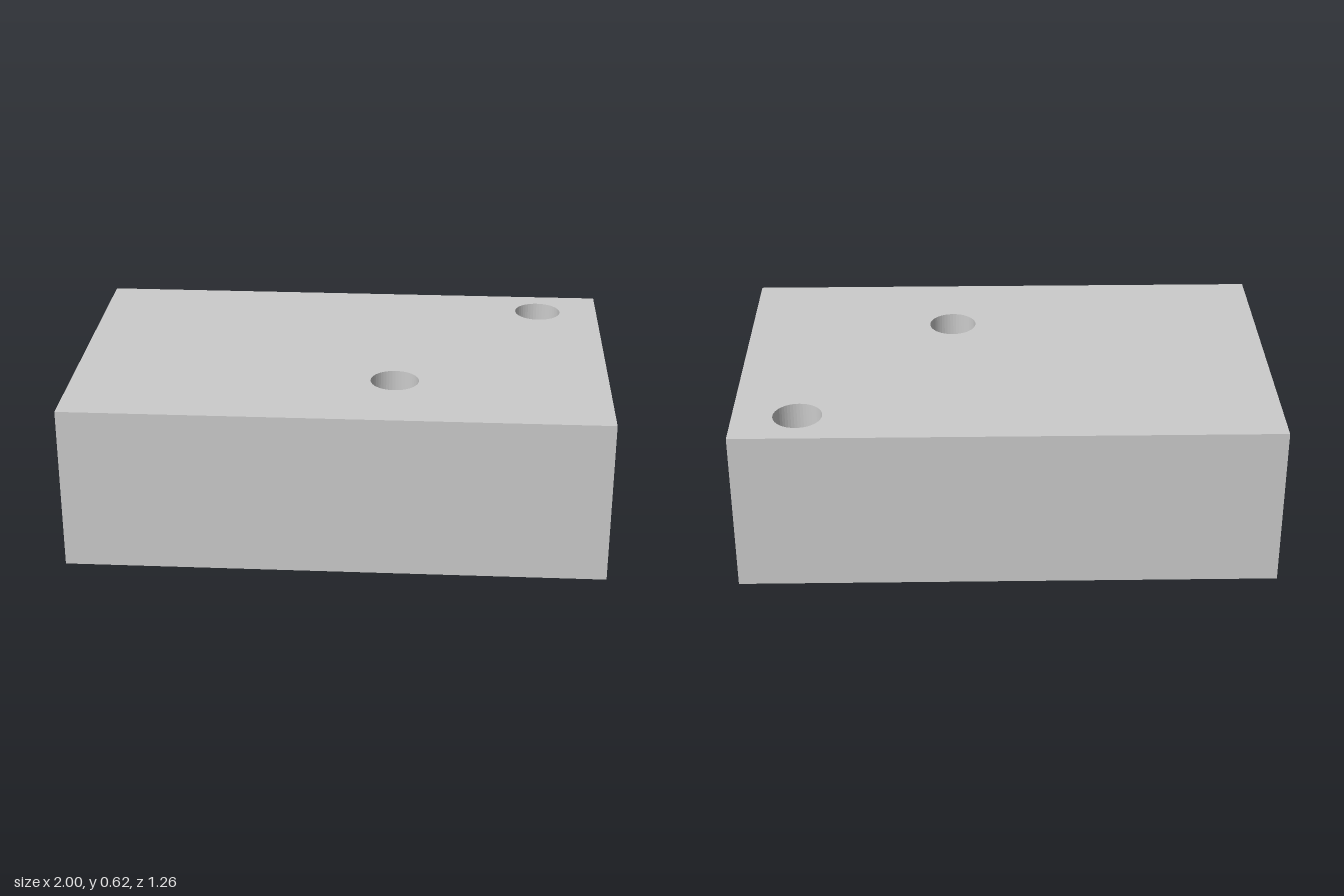
import * as THREE from 'three';

const W = 2, H = 0.62, D = 1.26;          // block size
const SEG = 48;                           // sides of every bore
const BORE = { z: -0.17, y: 0.272, r: 0.162, wideR: 0.27, wideDepth: 0.28 };
const PINS = [{ x: 0.205, z: 0.275, r: 0.09 }, { x: 0.762, z: -0.465, r: 0.09 }];

export function createModel() {
  const group = new THREE.Group();
  const solid = new THREE.MeshStandardMaterial({ color: 0xcccccc, flatShading: true });
  const wall = new THREE.MeshStandardMaterial({ color: 0xcccccc, flatShading: true, side: THREE.DoubleSide });

  const add = (name, geometry, material = solid) => {
    const mesh = new THREE.Mesh(geometry, material);
    mesh.name = name;
    group.add(mesh);
    return mesh;
  };

  const circle = (PathType, x, y, r) => new PathType().absarc(x, y, r, 0, Math.PI * 2, false);

  // Flat rectangular face, centred on its own origin, with round holes [x, y, r]
  const face = (name, w, h, holes = []) => {
    const s = new THREE.Shape([[-w, -h], [w, -h], [w, h], [-w, h]].map(([x, y]) => new THREE.Vector2(x / 2, y / 2)));
    s.holes = holes.map(([x, y, r]) => circle(THREE.Path, x, y, r));
    return add(name, new THREE.ShapeGeometry(s, SEG / 2));
  };

  // Outer faces of the block
  const cy = H / 2;
  const front = face('frontFace', W, H);
  front.position.set(0, cy, D / 2);
  const back = face('backFace', W, H);
  back.position.set(0, cy, -D / 2);
  back.rotation.y = Math.PI;
  const top = face('topFace', W, D, PINS.map(p => [p.x, -p.z, p.r]));
  top.position.y = H;
  top.rotation.x = -Math.PI / 2;
  const bottom = face('bottomFace', W, D, PINS.map(p => [p.x, p.z, p.r]));
  bottom.rotation.x = Math.PI / 2;
  const left = face('leftFace', D, H, [[-BORE.z, BORE.y - cy, BORE.r]]);
  left.position.set(W / 2, cy, 0);
  left.rotation.y = Math.PI / 2;
  const right = face('rightFace', D, H, [[BORE.z, BORE.y - cy, BORE.wideR]]);
  right.position.set(-W / 2, cy, 0);
  right.rotation.y = -Math.PI / 2;

  // Vertical through holes
  for (const p of PINS) {
    add('verticalHole', new THREE.CylinderGeometry(p.r, p.r, H, SEG, 1, true), wall).position.set(p.x, cy, p.z);
  }

  // Stepped bore along x: wide part, shoulder, narrow part
  const stepX = -W / 2 + BORE.wideDepth;
  const tube = (name, r, x0, x1) => {
    const g = new THREE.CylinderGeometry(r, r, x1 - x0, SEG, 1, true).rotateZ(Math.PI / 2);
    add(name, g, wall).position.set((x0 + x1) / 2, BORE.y, BORE.z);
  };
  tube('wideBore', BORE.wideR, -W / 2, stepX);
  tube('narrowBore', BORE.r, stepX, W / 2);
  const shoulder = add('boreShoulder', new THREE.RingGeometry(BORE.r, BORE.wideR, SEG));
  shoulder.position.set(stepX, BORE.y, BORE.z);
  shoulder.rotation.y = -Math.PI / 2;

  return group;
}
